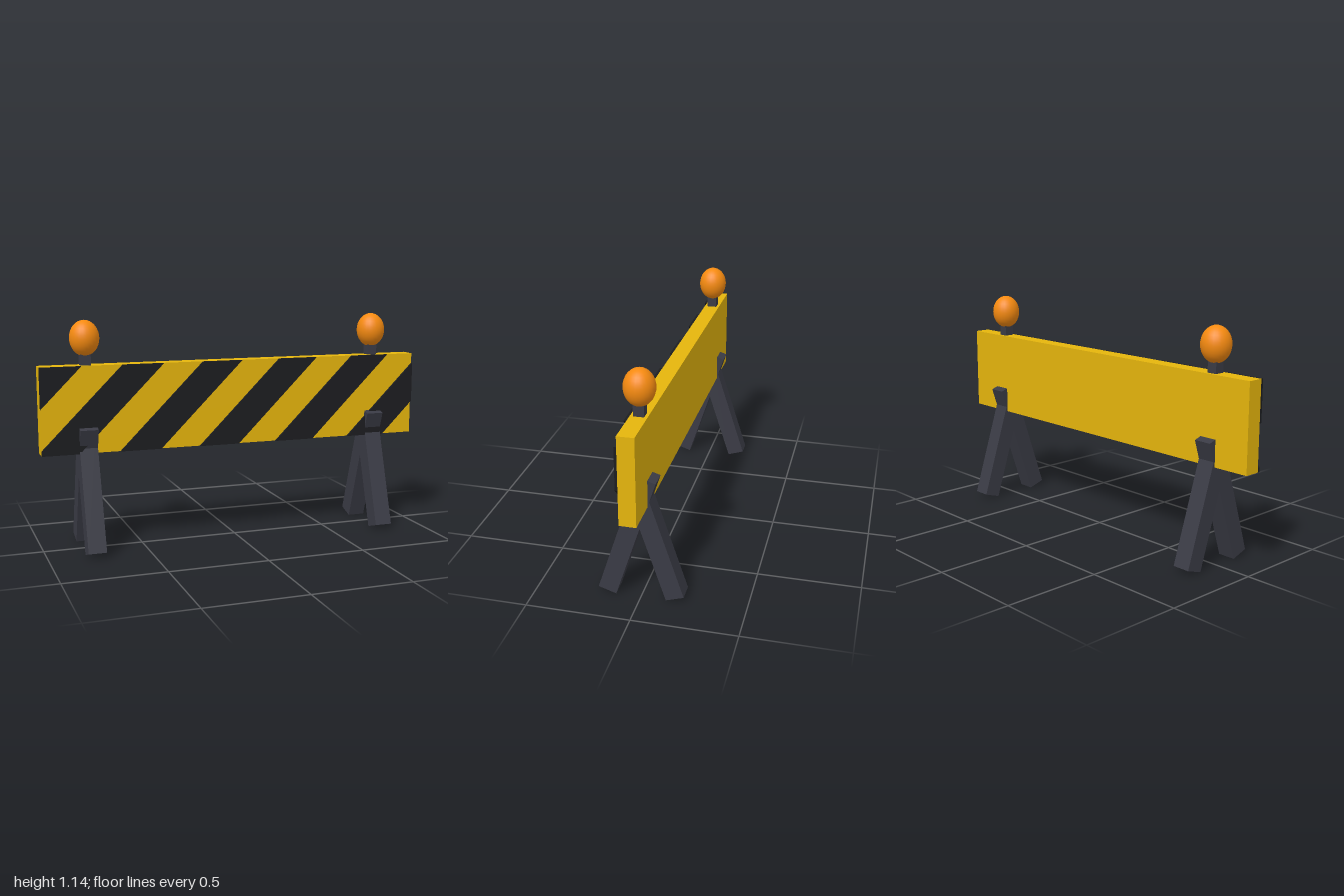
import * as THREE from 'three';

const paint = (color) => new THREE.MeshStandardMaterial({ color });
const yellow = paint(0xe5b50c);
const black = paint(0x1c1d20);
const steel = paint(0x3a3b45);
const amber = paint(0xf58a10);

const HALF = 1, BOTTOM = 0.49, TOP = 0.92, FRONT = 0.04;

function add(parent, name, geometry, material, x, y, z) {
  const mesh = new THREE.Mesh(geometry, material);
  mesh.name = name;
  mesh.position.set(x, y, z);
  parent.add(mesh);
  return mesh;
}

// Keeps the part of a polygon where side * x <= HALF
function clip(points, side) {
  const out = [];
  points.forEach((a, i) => {
    const b = points[(i + 1) % points.length];
    const da = HALF - side * a.x, db = HALF - side * b.x;
    if (da >= 0) out.push(a);
    if (da * db < 0) out.push(a.clone().lerp(b, da / (da - db)));
  });
  return out;
}

export function createModel() {
  const group = new THREE.Group();

  // Board
  add(group, 'board', new THREE.BoxGeometry(2 * HALF, TOP - BOTTOM, 2 * FRONT), yellow, 0, (TOP + BOTTOM) / 2, 0);

  // Raised diagonal stripes, trimmed at the board ends
  const pitch = 0.411, width = 0.207, lean = 0.43;
  for (let i = 0; i < 6; i++) {
    const x = -1.004 + i * pitch;
    const corners = [
      new THREE.Vector2(x - lean, BOTTOM),
      new THREE.Vector2(x - lean + width, BOTTOM),
      new THREE.Vector2(x + width, TOP),
      new THREE.Vector2(x, TOP),
    ];
    const shape = new THREE.Shape(clip(clip(corners, 1), -1));
    const stripe = new THREE.ExtrudeGeometry(shape, { depth: 0.012, bevelEnabled: false });
    add(group, `stripe${i + 1}`, stripe, black, 0, 0, FRONT);
  }

  // Crossed legs and warning lamp at each end
  for (const [label, x] of [['left', 0.77], ['right', -0.77]]) {
    for (const [end, s] of [['Front', 1], ['Back', -1]]) {
      const leg = add(group, `${label}${end}Leg`, new THREE.BoxGeometry(0.09, 0.64, 0.09), steel, x, 0.319, s * 0.064);
      leg.rotation.x = -s * THREE.MathUtils.degToRad(18);
    }
    add(group, `${label}LampPost`, new THREE.BoxGeometry(0.05, 0.1, 0.05), steel, x, 0.95, 0);
    const lamp = add(group, `${label}Lamp`, new THREE.SphereGeometry(0.073, 24, 16), amber, x, 1.051, 0);
    lamp.scale.y = 1.2;
  }

  return group;
}
